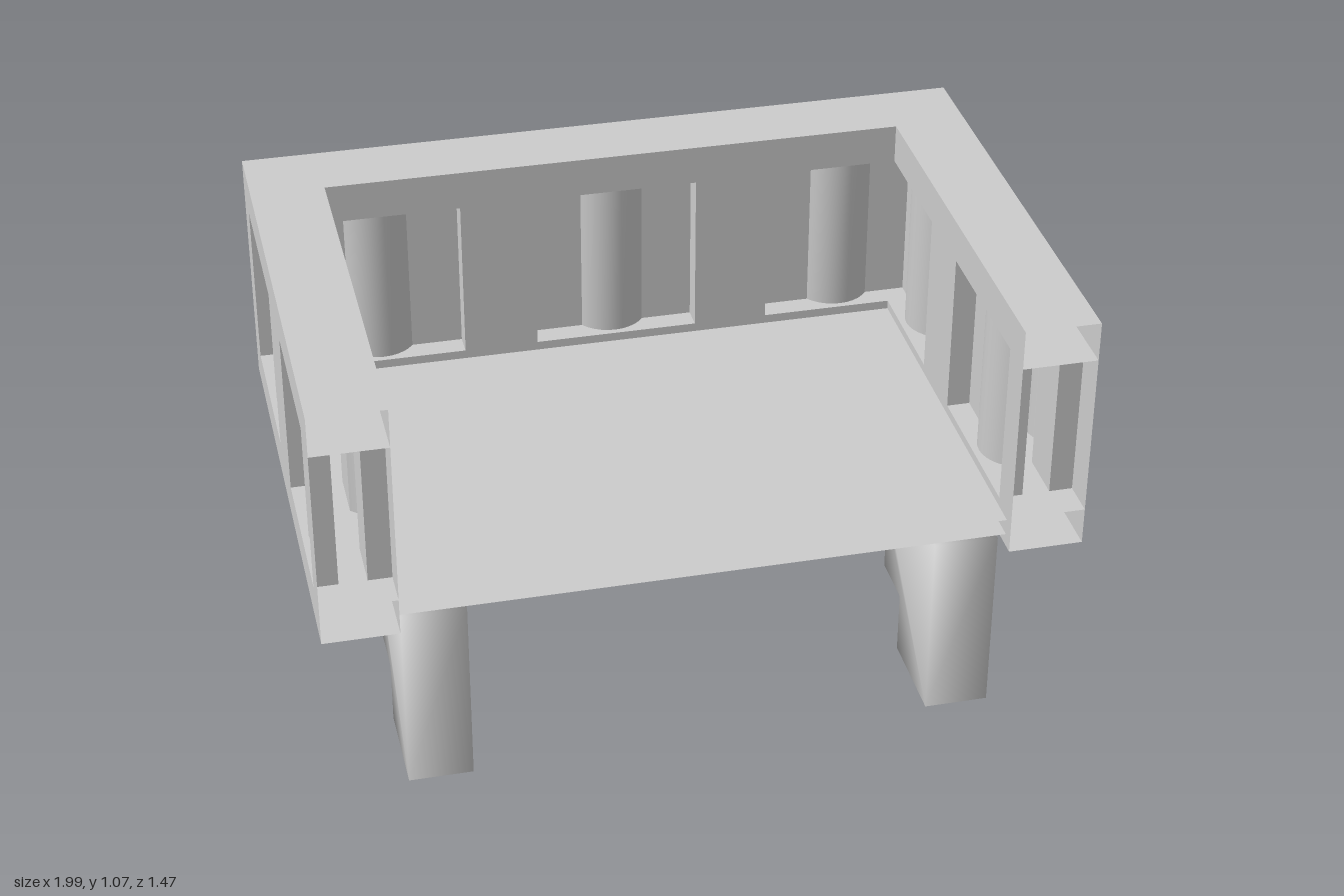
import * as THREE from 'three';
import { mergeVertices, toCreasedNormals } from 'three/addons/utils/BufferGeometryUtils.js';

const W = 0.921, D = 0.613, T = 0.184;            // half width, half depth, wall thickness
const Y = [0.455, 0.55, 0.97, 1.07];              // wall bottom, recess bottom, recess top, wall top
const RECESS = 0.058, WINDOW = 0.42, COLUMN = 0.08, BULGE = 0.042;
const FLOOR_FRONT = 0.583, LEG_FRONT = 0.593;

const mat = new THREE.MeshStandardMaterial({ color: 0xcccccc, side: THREE.DoubleSide });

function mesh(name, geometry, parent) {
  const m = new THREE.Mesh(geometry, mat);
  m.name = name;
  parent.add(m);
  return m;
}

// Vertical sheet standing on a plan path of [x, z] points
function sheet(path, y0, y1) {
  const pos = [];
  for (let i = 0; i < path.length - 1; i++) {
    const [ax, az] = path[i], [bx, bz] = path[i + 1];
    if (Math.hypot(bx - ax, bz - az) < 1e-6) continue;
    pos.push(ax, y0, az, bx, y0, bz, bx, y1, bz, ax, y0, az, bx, y1, bz, ax, y1, az);
  }
  const g = new THREE.BufferGeometry();
  g.setAttribute('position', new THREE.Float32BufferAttribute(pos, 3));
  return toCreasedNormals(g, 0.5);
}

// Plan line of one wall face with recessed windows, each holding a rounded column
function recessedLine(a, b, centres, sign) {
  const len = Math.hypot(b[0] - a[0], b[1] - a[1]);
  const t = [(b[0] - a[0]) / len, (b[1] - a[1]) / len];
  const n = [-t[1] * sign, t[0] * sign];
  const sa = a[0] * t[0] + a[1] * t[1], sb = sa + len;
  const at = (s, d) => [a[0] + t[0] * (s - sa) + n[0] * d, a[1] + t[1] * (s - sa) + n[1] * d];
  const pts = [];
  const first = centres[0] - WINDOW / 2, last = centres[centres.length - 1] + WINDOW / 2;
  if (first > sa) pts.push(a);
  for (const c of centres) {
    const s0 = c - WINDOW / 2, s1 = c + WINDOW / 2;
    // a window that reaches an inner corner joins the one on the next wall
    if (s0 < sa) pts.push(at(sa - RECESS, RECESS));
    else pts.push(at(s0, 0), at(s0, RECESS));
    const r = (COLUMN ** 2 + BULGE ** 2) / (2 * BULGE), half = Math.asin(COLUMN / r);
    for (let i = 0; i <= 10; i++) {
      const ang = half * (i / 5 - 1);
      pts.push(at(c + r * Math.sin(ang), RECESS - BULGE + r * (1 - Math.cos(ang))));
    }
    if (s1 > sb) pts.push(at(sb + RECESS, RECESS));
    else pts.push(at(s1, RECESS), at(s1, 0));
  }
  if (last < sb) pts.push(b);
  return pts;
}

function horizontal(points, y) {
  const shape = new THREE.Shape(points.map(([x, z]) => new THREE.Vector2(x, -z)));
  return new THREE.ShapeGeometry(shape).rotateX(-Math.PI / 2).translate(0, y, 0);
}

// Stepped bracket with softly blended normals
function legGeometry(x) {
  const profile = [[0, 0], [0.246, 0], [0.246, 0.162], [0.383, 0.162], [0.383, 0.323],
    [0.523, 0.323], [0.523, 0.485], [0, 0.485]];
  const shape = new THREE.Shape(profile.map(p => new THREE.Vector2(...p)));
  let g = new THREE.ExtrudeGeometry(shape, { depth: 0.157, bevelEnabled: false });
  g.translate(0, 0, -0.0785).rotateY(Math.PI / 2).translate(x, 0, LEG_FRONT);
  g.deleteAttribute('uv');
  g.deleteAttribute('normal');
  g = mergeVertices(g, 1e-4);
  g.computeVertexNormals();
  return g;
}

export function createModel() {
  const model = new THREE.Group();
  model.name = 'balcony';
  const body = new THREE.Group();
  body.name = 'balconyBody';
  body.rotation.y = 0.1388;
  model.add(body);

  // Hollow U-shaped parapet, open at its two front ends
  const w = W - T, back = -D + T;
  const outer = [[-W, D], [-W, -D], [W, -D], [W, D]];
  const inner = [[-w, D], [-w, back], [w, back], [w, D]];
  const windows = [[-0.31, 0.31], [-0.61, 0, 0.61], [-0.31, 0.31]];
  const parapet = new THREE.Group();
  parapet.name = 'parapet';
  body.add(parapet);
  [['outer', outer, 1], ['inner', inner, -1]].forEach(([name, path, sign]) => {
    mesh(name + 'LowerRail', sheet(path, Y[0], Y[1]), parapet);
    mesh(name + 'UpperRail', sheet(path, Y[2], Y[3]), parapet);
    const line = windows.flatMap((c, i) => recessedLine(path[i], path[i + 1], c, sign));
    mesh(name + 'WindowPanels', sheet(line, Y[1], Y[2]), parapet);
  });

  // Underside, window ledges and coping
  const plan = [...outer, ...[...inner].reverse()];
  ['underside', 'lowerLedge', 'upperLedge', 'coping'].forEach((name, i) =>
    mesh(name, horizontal(plan, Y[i]), parapet));

  // Floor slab, open at the front
  const slab = [[-w, FLOOR_FRONT], [-w, back], [w, back], [w, FLOOR_FRONT]];
  mesh('floorTop', horizontal(slab, 0.527), body);
  mesh('floorUnderside', horizontal(slab, 0.486), body);

  // Supporting brackets
  mesh('rightBracket', legGeometry(-0.655), body);
  mesh('leftBracket', legGeometry(0.635), body);
  return model;
}
